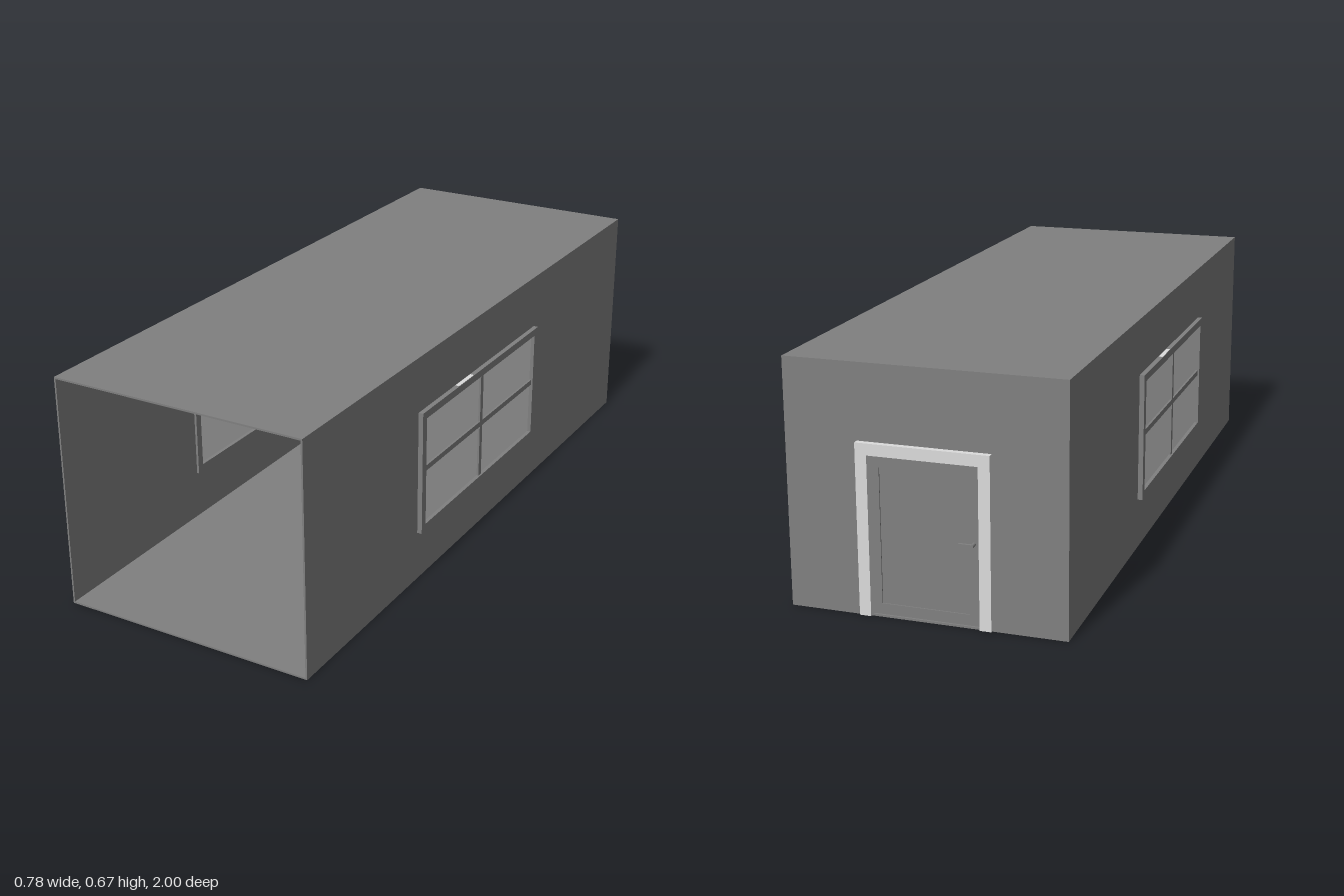
import * as THREE from 'three';

const grey = new THREE.MeshStandardMaterial({ color: 0x808080 });
grey.name = 'wall grey';
const light = new THREE.MeshStandardMaterial({ color: 0xdcdcdc });
light.name = 'light grey';

const W = 0.374, H = 0.667, T = 0.005, BACK = -0.973, FRONT = 1;

function add(parent, name, geometry, material, x = 0, y = 0, z = 0) {
  const mesh = new THREE.Mesh(geometry, material);
  mesh.name = name;
  mesh.position.set(x, y, z);
  parent.add(mesh);
  return mesh;
}

const box = (w, h, d) => new THREE.BoxGeometry(w, h, d);

// Rectangle outline from its left, bottom, right and top
function rect(Type, l, b, r, t) {
  const s = new Type();
  s.moveTo(l, b);
  s.lineTo(r, b);
  s.lineTo(r, t);
  s.lineTo(l, t);
  s.closePath();
  return s;
}

// Slab in the xy plane, centred on z = 0, with one rectangular hole
function slab(outer, hole, depth) {
  const shape = rect(THREE.Shape, ...outer);
  shape.holes.push(rect(THREE.Path, ...hole));
  const g = new THREE.ExtrudeGeometry(shape, { depth, bevelEnabled: false });
  return g.translate(0, 0, -depth / 2);
}

// Four-pane window, centred on its own origin and facing +z
function makeWindow(name) {
  const g = new THREE.Group();
  g.name = name;
  const w = 0.368, h = 0.1815, iw = 0.346, ih = 0.16;
  add(g, 'windowFrame', slab([-w, -h, w, h], [-iw, -ih, iw, ih], 0.026), grey);
  add(g, 'verticalBar', box(0.016, ih * 2, 0.016), grey);
  add(g, 'horizontalBar', box(iw * 2, 0.016, 0.016), grey, 0, 0.006, 0);
  add(g, 'glass', box(iw * 2, ih * 2, 0.004), light);
  // Small vent plate on top of the frame
  add(g, 'ventPlate', box(0.09, 0.002, 0.012), light, -0.11, h, 0.0065);
  return g;
}

// Door leaf with a recessed panel and a lever on both sides
function makeDoor() {
  const g = new THREE.Group();
  g.name = 'door';
  add(g, 'doorLeaf', slab([-0.147, 0.012, 0.146, 0.432], [-0.118, 0.041, 0.117, 0.404], 0.014), grey);
  add(g, 'doorPanel', box(0.235, 0.363, 0.007), grey, -0.0005, 0.2225, 0);
  for (const s of [-1, 1]) {
    const handle = new THREE.Group();
    handle.name = s < 0 ? 'outerHandle' : 'innerHandle';
    const spindle = add(handle, 'spindle', new THREE.CylinderGeometry(0.005, 0.005, 0.018, 12), grey, -0.132, 0.23, s * 0.014);
    spindle.rotation.x = Math.PI / 2;
    const end = add(handle, 'leverEnd', new THREE.CylinderGeometry(0.005, 0.005, 0.007, 12), grey, -0.132, 0.23, s * 0.0225);
    end.rotation.x = Math.PI / 2;
    add(handle, 'lever', box(0.035, 0.009, 0.007), grey, -0.1145, 0.23, s * 0.0225);
    g.add(handle);
  }
  return g;
}

export function createModel() {
  const model = new THREE.Group();
  model.name = 'room';
  const len = FRONT - BACK, mid = (FRONT + BACK) / 2;

  // Shell, open at the front
  add(model, 'floor', box(W * 2, T, len), grey, 0, T / 2, mid);
  add(model, 'roof', box(W * 2, T, len), grey, 0, H - T / 2, mid);
  const winZ = 0.056, winY = 0.3265;
  for (const s of [-1, 1]) {
    // Wall outline runs along z; local x points to -z on the left wall
    const a = -s * FRONT, b = -s * BACK, c = -s * winZ;
    const wall = add(model, s > 0 ? 'leftWall' : 'rightWall',
      slab([Math.min(a, b), T, Math.max(a, b), H - T], [c - 0.35, winY - 0.165, c + 0.35, winY + 0.165], T),
      grey, s * (W - T / 2), 0, 0);
    wall.rotation.y = s * Math.PI / 2;

    const win = makeWindow(s > 0 ? 'leftWindow' : 'rightWindow');
    win.rotation.y = s * Math.PI / 2;
    win.position.set(s * 0.375, winY, winZ);
    model.add(win);
  }

  // Back wall around the doorway
  const back = rect(THREE.Shape, -W + T, T, W - T, H - T);
  back.holes.push(rect(THREE.Path, -0.16, T + 0.0005, 0.16, 0.45));
  const backGeometry = new THREE.ExtrudeGeometry(back, { depth: T, bevelEnabled: false });
  add(model, 'backWall', backGeometry, grey, 0, 0, BACK);

  // Door surround: two posts and a head
  const surround = new THREE.Group();
  surround.name = 'doorFrame';
  const depth = 0.032;
  add(surround, 'rightPost', box(0.031, 0.46, depth), light, -0.1625, 0.235, 0);
  add(surround, 'leftPost', box(0.031, 0.46, depth), light, 0.1615, 0.235, 0);
  add(surround, 'head', box(0.293, 0.031, depth), light, -0.0005, 0.4495, 0);
  surround.position.z = -0.973;
  model.add(surround);

  const door = makeDoor();
  door.position.z = -0.974;
  model.add(door);

  return model;
}
